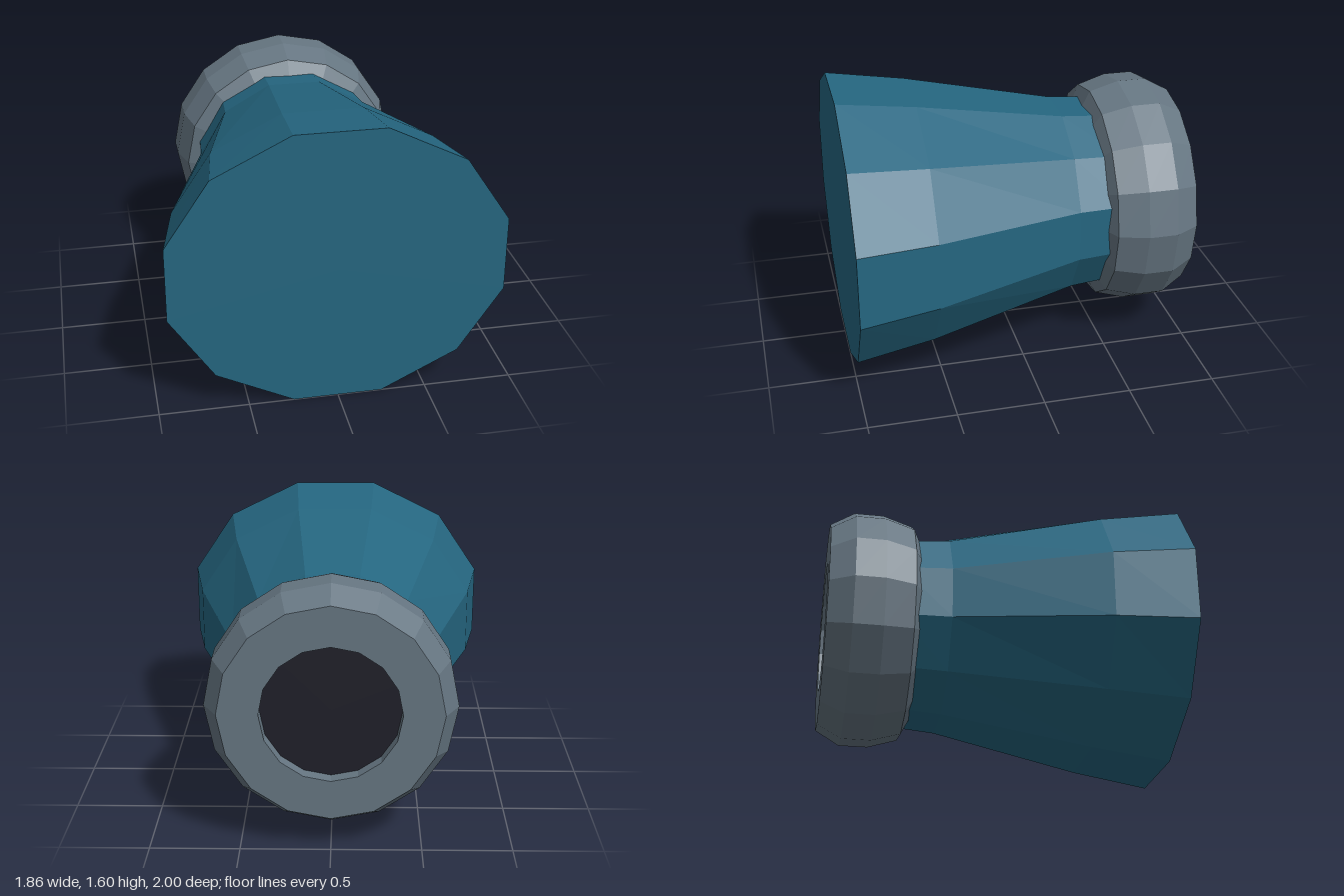
import * as THREE from 'three';

export function createModel() {
  const group = new THREE.Group();
  const paint = (name, color) => {
    const m = new THREE.MeshStandardMaterial({ color, flatShading: true });
    m.name = name;
    return m;
  };
  const teal = paint('teal', 0x256680);
  const grey = paint('slate grey', 0x667682);
  const dark = paint('dark bore', 0x20202a);

  const add = (name, geometry, material) => {
    const mesh = new THREE.Mesh(geometry, material);
    mesh.name = name;
    mesh.position.y = 0.8;
    group.add(mesh);
  };

  // Twelve-sided body: wide oval at the front, round at the neck.
  // Each station is [z, x radius, y radius].
  const stations = [
    [1, 0.963, 0.828],
    [0.55, 0.876, 0.759],
    [-0.31, 0.6, 0.585],
    [-0.6, 0.575, 0.56],
  ];
  const body = new THREE.CylinderGeometry(1, 1, 3, 12, 3, false, Math.PI / 12);
  body.rotateX(Math.PI / 2);
  const p = body.attributes.position;
  for (let i = 0; i < p.count; i++) {
    const [z, rx, ry] = stations[Math.round(1.5 - p.getZ(i))];
    p.setXYZ(i, p.getX(i) * rx, p.getY(i) * ry, z);
  }
  body.computeVertexNormals();
  add('body', body, teal);

  // Sixteen-sided collar with a shallow bore, opening to the back.
  const profile = [
    [0.385, -0.92], [0.385, -1], [0.61, -1], [0.69, -0.86],
    [0.69, -0.69], [0.64, -0.52], [0.55, -0.475], [0.5, -0.47],
  ].map(([r, z]) => new THREE.Vector2(r, z));
  const collar = new THREE.LatheGeometry(profile, 16);
  collar.rotateX(Math.PI / 2);
  add('collar', collar, grey);

  // Dark floor of the bore, facing back.
  const floor = new THREE.CircleGeometry(0.39, 16);
  floor.rotateY(Math.PI);
  floor.translate(0, 0, -0.92);
  add('boreFloor', floor, dark);

  return group;
}
